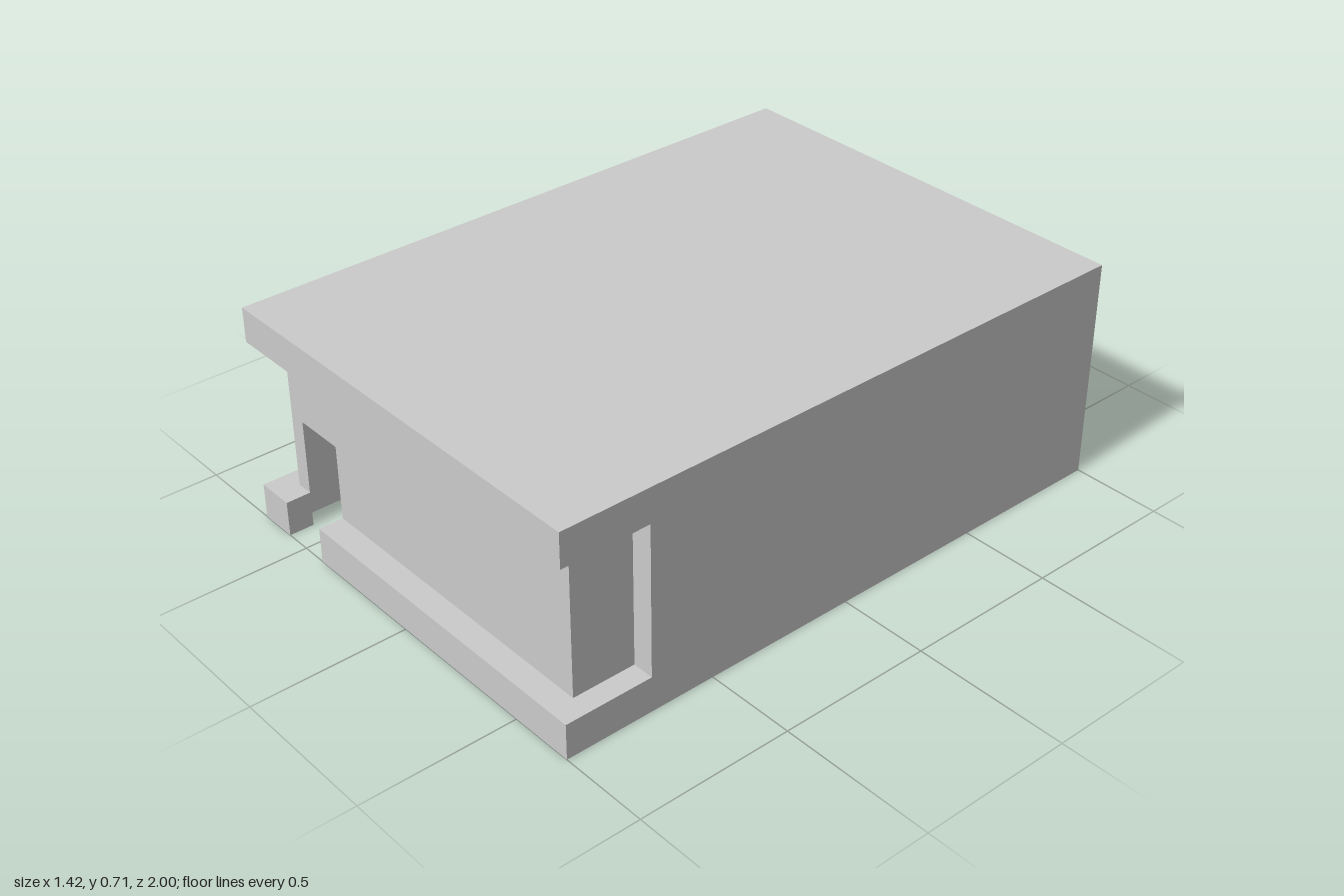
import * as THREE from 'three';

const W = 0.71, H = 0.714;               // outer half width, height
const IW = 0.64, IB = -0.865, IF = 0.92; // inner room: half width, back, front
const LOW = 0.115, HIGH = 0.603;         // window opening heights
const NOTCH = 0.714;                     // where the side walls step back
const DOOR = [-0.585, -0.415], DOOR_H = 0.36;

const solid = new THREE.MeshStandardMaterial({ color: 0xcccccc, flatShading: true });
const sheet = new THREE.MeshStandardMaterial({ color: 0xcccccc, side: THREE.DoubleSide });
const round = new THREE.MeshStandardMaterial({ color: 0xcccccc });

export function createModel() {
  const model = new THREE.Group();
  model.name = 'building';

  const add = (name, geo, mat, x = 0, y = 0, z = 0, parent = model) => {
    const mesh = new THREE.Mesh(geo, mat);
    mesh.name = name;
    mesh.position.set(x, y, z);
    parent.add(mesh);
    return mesh;
  };

  // Thin flat panel at a fixed x (points z,y), y (points x,z) or z (points x,y)
  const panel = (name, axis, at, points) => {
    const geo = new THREE.ShapeGeometry(new THREE.Shape(points.map(p => new THREE.Vector2(...p))));
    const pos = geo.attributes.position;
    for (let i = 0; i < pos.count; i++) {
      const u = pos.getX(i), v = pos.getY(i);
      if (axis === 'x') pos.setXYZ(i, at, v, u);
      if (axis === 'y') pos.setXYZ(i, u, at, v);
      if (axis === 'z') pos.setXYZ(i, u, v, at);
    }
    geo.computeVertexNormals();
    add(name, geo, sheet);
  };
  const rect = (u0, u1, v0, v1) => [[u0, v0], [u1, v0], [u1, v1], [u0, v1]];

  // Outer shell, open underneath
  panel('roof', 'y', H, rect(-W, W, -1, 1));
  panel('backWall', 'z', -1, rect(-W, W, 0, H));
  panel('roofFascia', 'z', 1, rect(-W, W, HIGH, H));
  panel('roofSoffit', 'y', HIGH, rect(-W, W, NOTCH, 1));
  for (const s of [-1, 1]) {
    panel('sideWall', 'x', s * W, [[-1, 0], [1, 0], [1, LOW], [NOTCH, LOW],
      [NOTCH, HIGH], [1, HIGH], [1, H], [-1, H]]);
    panel('sideWallReturn', 'z', NOTCH, rect(...(s < 0 ? [-W, -IW] : [IW, W]), LOW, HIGH));
    panel('sideLedgeTop', 'y', LOW, rect(...(s < 0 ? [-W, -IW] : [IW, W]), NOTCH, IF));
  }

  // Front ledge, split by the doorway
  for (const [x0, x1] of [[-W, DOOR[0]], [DOOR[1], W]]) {
    panel('ledgeFront', 'z', 1, rect(x0, x1, 0, LOW));
    panel('ledgeTop', 'y', LOW, rect(x0, x1, IF, 1));
  }
  for (const x of DOOR) panel('ledgeEnd', 'x', x, rect(IF, 1, 0, LOW));

  // Inner room
  panel('frontWall', 'z', IF, [[-IW, 0], [DOOR[0], 0], [DOOR[0], DOOR_H], [DOOR[1], DOOR_H],
    [DOOR[1], 0], [IW, 0], [IW, HIGH], [-IW, HIGH]]);
  panel('innerBackWall', 'z', IB, rect(-IW, IW, 0, HIGH));
  panel('ceiling', 'y', HIGH, rect(-IW, IW, IB, NOTCH));
  for (const s of [-1, 1]) panel('innerSideWall', 'x', s * IW, rect(IB, IF, 0, HIGH));

  // Service counter with a sloped front, against the right wall
  const profile = [[-0.29, 0], [-0.01, 0], [-0.01, 0.107], [-0.11, 0.243], [-0.29, 0.243]];
  const counter = new THREE.ExtrudeGeometry(
    new THREE.Shape(profile.map(p => new THREE.Vector2(...p))), { depth: 0.6, bevelEnabled: false });
  counter.rotateY(-Math.PI / 2);
  add('serviceCounter', counter, solid, -0.04);

  // Window bar along the front and left walls
  add('frontBarTop', new THREE.BoxGeometry(1.0, 0.015, 0.06), solid, 0.14, 0.165, 0.89);
  add('sideBarTop', new THREE.BoxGeometry(0.06, 0.015, 0.46), solid, 0.61, 0.165, 0.63);
  const leg = new THREE.CylinderGeometry(0.007, 0.007, 0.16, 8);
  for (const [x, z] of [[-0.25, 0.9], [0.16, 0.9], [0.59, 0.9], [0.59, 0.5]])
    add('barLeg', leg, round, x, 0.08, z);

  // Stools
  const stem = new THREE.CylinderGeometry(0.007, 0.007, 0.085, 8);
  const seat = new THREE.CylinderGeometry(0.032, 0.032, 0.015, 12);
  const spots = [-0.25, -0.055, 0.14, 0.335, 0.53].map(x => [x, 0.84]);
  spots.push([0.53, 0.645], [0.53, 0.45]);
  for (const [x, z] of spots) {
    const stool = new THREE.Group();
    stool.name = 'stool';
    stool.position.set(x, 0, z);
    add('stoolStem', stem, round, 0, 0.0425, 0, stool);
    add('stoolSeat', seat, round, 0, 0.0925, 0, stool);
    model.add(stool);
  }

  return model;
}
